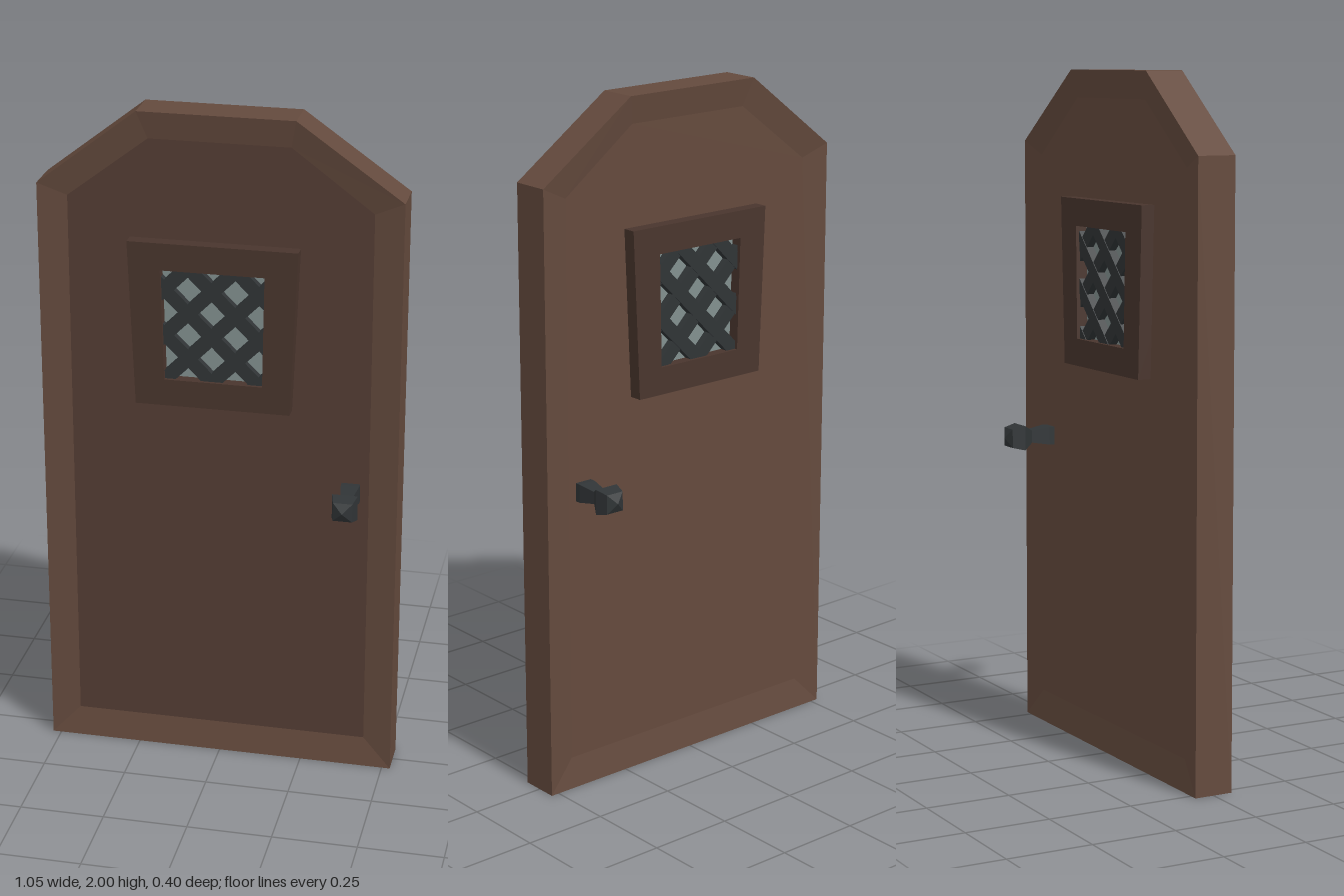
import * as THREE from 'three';

const paint = (color) => new THREE.MeshStandardMaterial({ color, flatShading: true });
const wood = paint(0x644a3d);
const panelWood = paint(0x543d34);
const trimWood = paint(0x49352d);
const iron = paint(0x303436);
const glass = paint(0x82908f);

// Outlines run counter-clockwise seen from the front
const outer = [[-0.525, 0], [0.525, 0], [0.52, 1.785], [0.215, 2], [-0.235, 2], [-0.525, 1.775]];
const inner = [[-0.44, 0.09], [0.44, 0.09], [0.435, 1.745], [0.2, 1.92], [-0.205, 1.92], [-0.44, 1.74]];
const trimOuter = [[-0.24, 1.14], [0.21, 1.14], [0.23, 1.63], [-0.26, 1.63]];
const opening = [[-0.155, 1.22], [0.13, 1.22], [0.135, 1.55], [-0.165, 1.55]];

const toShape = (pts) => new THREE.Shape(pts.map(([x, y]) => new THREE.Vector2(x, y)));

function add(parent, name, geometry, material) {
  const mesh = new THREE.Mesh(geometry, material);
  mesh.name = name;
  parent.add(mesh);
  return mesh;
}

// Joins successive loops [points, z] with quads
function bands(loops) {
  const pos = [];
  for (let k = 0; k < loops.length - 1; k++) {
    const [a, za] = loops[k];
    const [b, zb] = loops[k + 1];
    a.forEach((p, i) => {
      const j = (i + 1) % a.length;
      const A = [...p, za], B = [...a[j], za], C = [...b[j], zb], D = [...b[i], zb];
      pos.push(...A, ...B, ...C, ...A, ...C, ...D);
    });
  }
  const g = new THREE.BufferGeometry();
  g.setAttribute('position', new THREE.Float32BufferAttribute(pos, 3));
  g.computeVertexNormals();
  return g;
}

export function createModel() {
  const door = new THREE.Group();
  door.name = 'door';
  const half = 0.058, recess = 0.044;

  // Rim with a gently sloping bevel on both faces
  add(door, 'doorRim', bands([[inner, -recess], [outer, -half], [outer, half], [inner, recess]]), wood);

  // Recessed panels
  add(door, 'frontPanel', new THREE.ShapeGeometry(toShape(inner)), panelWood).position.z = recess;
  const back = new THREE.ShapeGeometry(toShape(inner.map(([x, y]) => [-x, y]).reverse()));
  back.rotateY(Math.PI);
  add(door, 'backPanel', back, wood).position.z = -recess;

  // Tapered window surround, showing on both faces
  const ring = toShape(trimOuter);
  ring.holes.push(new THREE.Path(toShape(opening).getPoints().reverse()));
  const trim = new THREE.ExtrudeGeometry(ring, { depth: 0.168, bevelEnabled: false });
  add(door, 'windowSurround', trim.translate(0, 0, -0.084), trimWood);

  // Pane
  const pane = new THREE.ExtrudeGeometry(toShape(opening), { depth: 0.1, bevelEnabled: false });
  add(door, 'windowPane', pane.translate(0, 0, -0.05), glass);

  // Diagonal lattice, bar ends tucked into the surround
  const lattice = new THREE.Group();
  lattice.name = 'windowLattice';
  door.add(lattice);
  const [x0, x1, y0, y1] = [-0.18, 0.15, 1.2, 1.57];
  const step = 0.137;
  for (const slope of [1, -1]) {
    for (let n = -5; n <= 5; n++) {
      // Bar line: y = 1.49 + slope * (x - 0.05) + offset, clipped to the opening
      const offset = (n + 0.5) * step;
      const xAt = (y) => 0.05 + (y - 1.49 - offset) / slope;
      const a = Math.max(x0, Math.min(xAt(y0), xAt(y1)));
      const b = Math.min(x1, Math.max(xAt(y0), xAt(y1)));
      if (b - a < 0.02) continue;
      const mid = (a + b) / 2;
      const bar = add(lattice, 'latticeBar',
        new THREE.BoxGeometry((b - a) * Math.SQRT2, 0.04, 0.146 + slope * 0.002), iron);
      bar.position.set(mid, 1.49 + slope * (mid - 0.05) + offset, 0);
      bar.rotation.z = slope * Math.PI / 4;
    }
  }

  // Square faceted knobs: [half width, distance from the door centre]
  const profile = [[0.027, 0.03], [0.027, 0.06], [0.018, 0.115], [0.037, 0.147], [0.028, 0.185], [0, 0.199]]
    .map(([w, d]) => new THREE.Vector2(w * Math.SQRT2, d));
  for (const side of [1, -1]) {
    const knob = add(door, side > 0 ? 'frontKnob' : 'backKnob',
      new THREE.LatheGeometry(profile, 4, Math.PI / 4), iron);
    knob.rotation.x = side * Math.PI / 2;
    knob.position.set(0.385, 0.9, 0);
  }
  return door;
}
